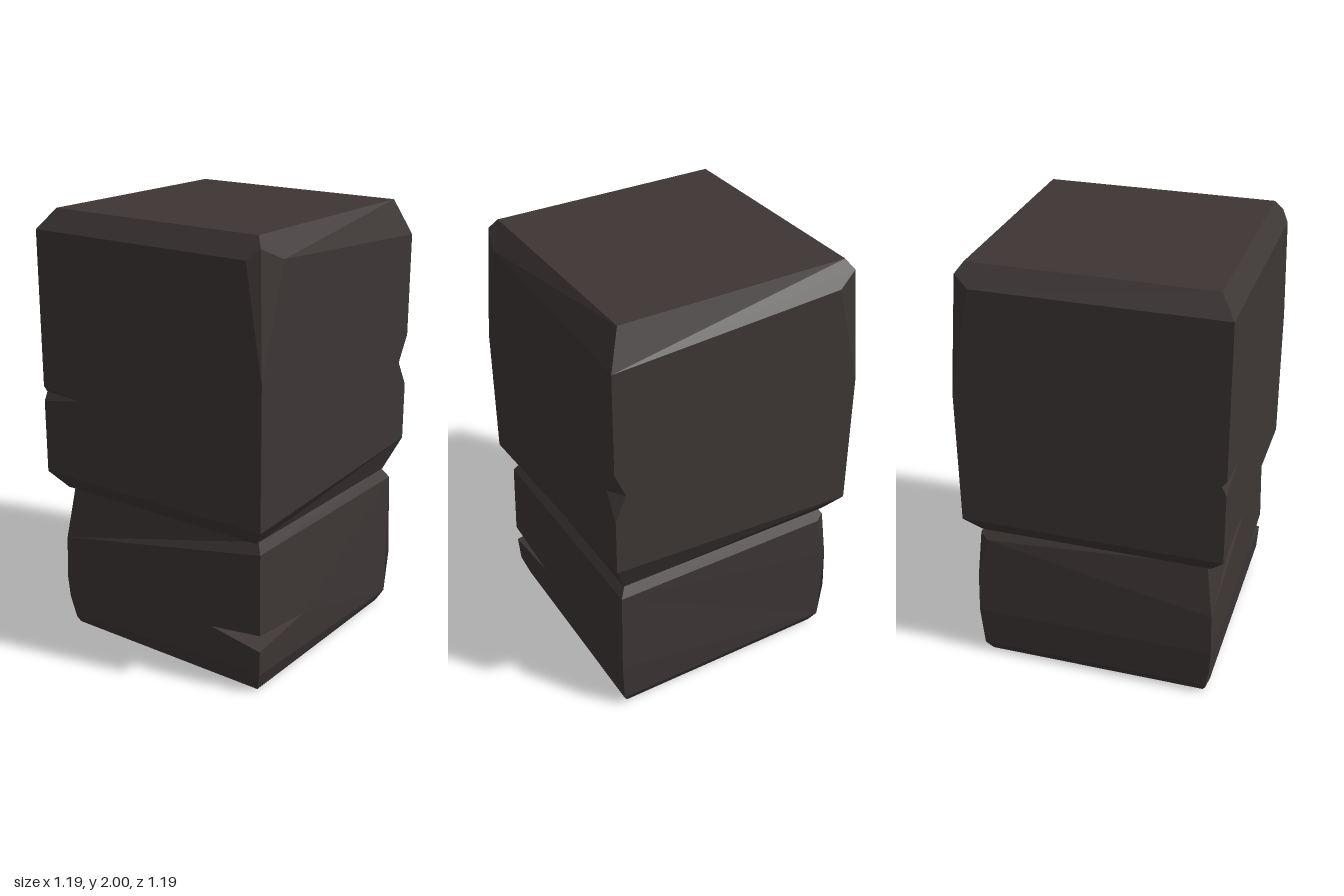
import * as THREE from 'three';

// corners in order around the block, counter-clockwise from above, starting front-left on screen
const SIGNS = [[-1, 1], [1, 1], [1, -1], [-1, -1]];

// A chipped stone block with bevelled top and bottom.
// Each corner: lo/hi bevel heights, mid bulge heights, notch in the edge, topChip/bottomChip.
// Widths are [along previous side, along next side].
function stoneBlock({ y0, y1, cap, radius, cx = 0, cz = 0, corners }) {
  const pos = [];
  const at = (i, r, y) => {
    const [sx, sz] = SIGNS[i % 4];
    return new THREE.Vector3(cx + sx * r, y, cz + sz * r);
  };
  const edge = (i, y) => at(i, radius(y), y);
  const fan = (...p) => {
    for (let k = 1; k < p.length - 1; k++) pos.push(...p[0], ...p[k], ...p[k + 1]);
  };
  // polygon on side i, given counter-clockwise from outside
  const sidePolygon = (i, pts) => {
    const d = edge(i + 1, y0).sub(edge(i, y0)).setY(0).normalize();
    const flat = pts.map(p => new THREE.Vector2(p.dot(d), p.y));
    for (const t of THREE.ShapeUtils.triangulateShape(flat, [])) t.forEach(k => pos.push(...pts[k]));
  };

  // point at width w from corner i, towards neighbour j, with heights a and b at the two ends
  const along = (i, j, a, b, w) => {
    const p = edge(i, a), q = edge(j, b);
    return p.lerp(q, w / p.distanceTo(q));
  };

  // work out the points of every corner
  const data = corners.map((c, i) => {
    const prev = (i + 3) % 4, next = (i + 1) % 4;
    const chains = [[], []]; // upward chains for the previous and the next side
    const both = p => chains.forEach(ch => ch.push(p));
    const out = { chains, top: at(i, cap, y1), bottom: at(i, cap, y0), topInner: [], bottomInner: [] };
    const chipPoints = (chip, key, end) => {
      const apex = edge(i, chip.apex);
      const sides = [prev, next].map((j, s) => along(i, j, c[key], corners[j][key], chip.w[s]));
      const inner = edge(i, c[key]).lerp(end, 0.5);
      return { apex, sides, inner };
    };
    if (c.bottomChip) {
      const { apex, sides, inner } = chipPoints(c.bottomChip, 'lo', out.bottom);
      chains.forEach((ch, s) => ch.push(sides[s], apex));
      out.bottomInner = [inner];
      fan(apex, sides[0], inner, sides[1]);
    } else both(edge(i, c.lo));
    (c.mid || []).forEach(y => both(edge(i, y)));
    if (c.notch) {
      const [a, m, b] = c.notch.y;
      const low = edge(i, a), high = edge(i, b);
      const sides = [prev, next].map((j, s) => along(i, j, m, m, c.notch.w[s]));
      chains.forEach((ch, s) => ch.push(low, sides[s], high));
      fan(high, sides[0], sides[1]);
      fan(low, sides[1], sides[0]);
    }
    if (c.topChip) {
      const { apex, sides, inner } = chipPoints(c.topChip, 'hi', out.top);
      chains.forEach((ch, s) => ch.push(apex, sides[s]));
      out.topInner = [inner];
      fan(apex, sides[1], inner, sides[0]);
    } else both(edge(i, c.hi));
    return out;
  });

  // sides with their top and bottom bevels
  for (let i = 0; i < 4; i++) {
    const a = data[i], b = data[(i + 1) % 4];
    const left = a.chains[1], right = b.chains[0];
    sidePolygon(i, [...right, ...[...left].reverse()]);
    sidePolygon(i, [left.at(-1), right.at(-1), ...b.topInner, b.top, a.top, ...a.topInner]);
    sidePolygon(i, [a.bottom, b.bottom, ...b.bottomInner, right[0], left[0], ...a.bottomInner]);
  }
  fan(...data.map(d => d.top));
  fan(...data.map(d => d.bottom).reverse());

  const geometry = new THREE.BufferGeometry();
  geometry.setAttribute('position', new THREE.Float32BufferAttribute(pos, 3));
  geometry.computeVertexNormals();
  return geometry;
}

export function createModel() {
  const group = new THREE.Group();
  group.name = 'stonePillar';
  const stone = new THREE.MeshStandardMaterial({ color: 0x3d3635 });
  stone.name = 'dark stone';
  const add = (name, geometry) => {
    const mesh = new THREE.Mesh(geometry, stone);
    mesh.name = name;
    group.add(mesh);
  };

  // tall upper block
  add('upperBlock', stoneBlock({
    y0: 0.705, y1: 2, cap: 0.53, radius: () => 0.595,
    corners: [
      { lo: 0.79, hi: 1.91, notch: { y: [1.13, 1.17, 1.2], w: [0.02, 0.225] } },
      { lo: 0.79, hi: 1.91, topChip: { apex: 1.42, w: [0.08, 0.145] } },
      { lo: 0.86, hi: 1.84, notch: { y: [1.13, 1.25, 1.37], w: [0.07, 0.05] } },
      { lo: 0.79, hi: 1.91, topChip: { apex: 1.43, w: [0.125, 0.1] } },
    ],
  }));

  // smaller, slightly bulging lower block
  add('lowerBlock', stoneBlock({
    y0: 0, y1: 0.705, cap: 0.518, cx: 0.009, cz: -0.009,
    radius: y => (y < 0.25 ? 0.545 + (y - 0.05) * 0.06 : 0.557 - (y - 0.25) * 0.025),
    corners: [
      { lo: 0.05, hi: 0.45, mid: [0.25], bottomChip: { apex: 0.14, w: [0.05, 0.05] } },
      { lo: 0.09, hi: 0.66, notch: { y: [0.21, 0.255, 0.29], w: [0.26, 0.34] } },
      { lo: 0.05, hi: 0.66, mid: [0.26] },
      { lo: 0.05, hi: 0.66, mid: [0.25], topChip: { apex: 0.45, w: [0.05, 0.05] } },
    ],
  }));
  return group;
}
